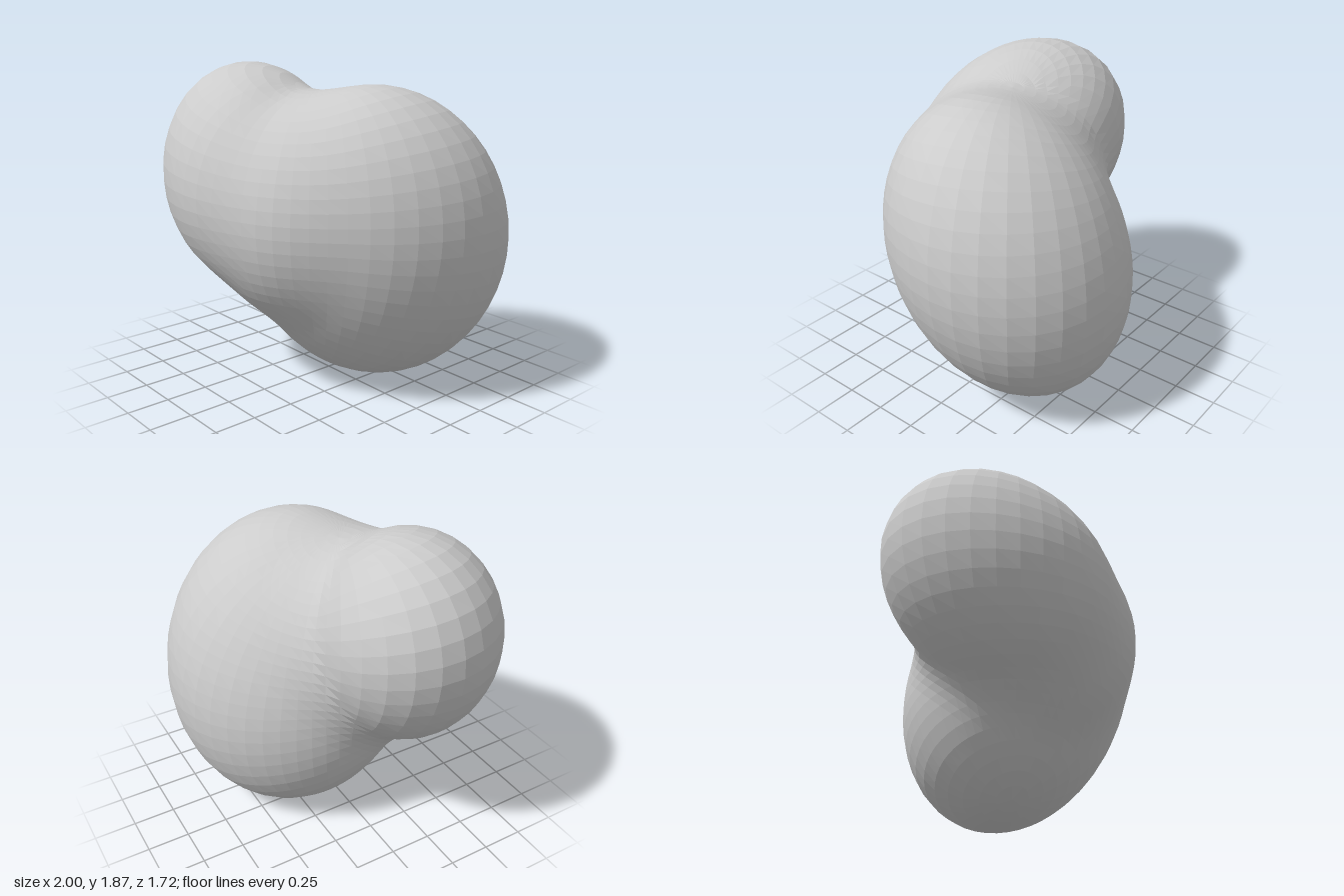
import * as THREE from 'three';

// Tilted ellipsoid: half extents on x, y, z plus the tilt terms xy, xz, yz.
function lobe(center, [ex, ey, ez], [xy, xz, yz]) {
  const inverse = new THREE.Matrix3().set(
    ex * ex, xy, xz,
    xy, ey * ey, yz,
    xz, yz, ez * ez
  ).invert();
  const c = new THREE.Vector3(...center);
  const d = new THREE.Vector3(), g = new THREE.Vector3();
  // approximate signed distance to the lobe's surface
  return (p) => {
    d.subVectors(p, c);
    g.copy(d).applyMatrix3(inverse);
    const q = Math.sqrt(d.dot(g));
    return (q - 1) * q / Math.max(g.length(), 1e-6);
  };
}

// Large lobe, small lobe and the thick neck that fills the gap between them
const bigLobe = lobe([0.26, 0.885, -0.13], [0.74, 0.885, 0.735], [0.085, -0.05, 0.1]);
const smallLobe = lobe([-0.34, 1.22, 0.28], [0.66, 0.65, 0.58], [-0.08, 0.07, -0.035]);
const neck = lobe([0.05, 1.04, 0.13], [0.65, 0.68, 0.65], [0, 0, 0]);

// Minimum with a rounded transition of width k
function softMin(a, b, k) {
  const h = Math.max(k - Math.abs(a - b), 0) / k;
  return Math.min(a, b) - h * h * k / 4;
}

const field = (p) => softMin(softMin(bigLobe(p), smallLobe(p), 0.1), neck(p), 0.08);

export function createModel() {
  const group = new THREE.Group();
  group.name = 'twoLobedRock';

  // Push each vertex of a sphere out to the blended surface
  const geometry = new THREE.SphereGeometry(1, 48, 32);
  const pos = geometry.attributes.position;
  const origin = new THREE.Vector3(0, 1.02, 0.06);
  const dir = new THREE.Vector3(), p = new THREE.Vector3();
  for (let i = 0; i < pos.count; i++) {
    dir.fromBufferAttribute(pos, i).normalize();
    let near = 0, far = 2;
    for (let n = 0; n < 24; n++) {
      const mid = (near + far) / 2;
      p.copy(origin).addScaledVector(dir, mid);
      if (field(p) < 0) near = mid; else far = mid;
    }
    p.copy(origin).addScaledVector(dir, near);
    pos.setXYZ(i, p.x, p.y, p.z);
  }
  geometry.computeVertexNormals();

  const body = new THREE.Mesh(
    geometry,
    new THREE.MeshStandardMaterial({ color: 0xcccccc, flatShading: true })
  );
  body.name = 'rockBody';
  group.add(body);
  return group;
}
